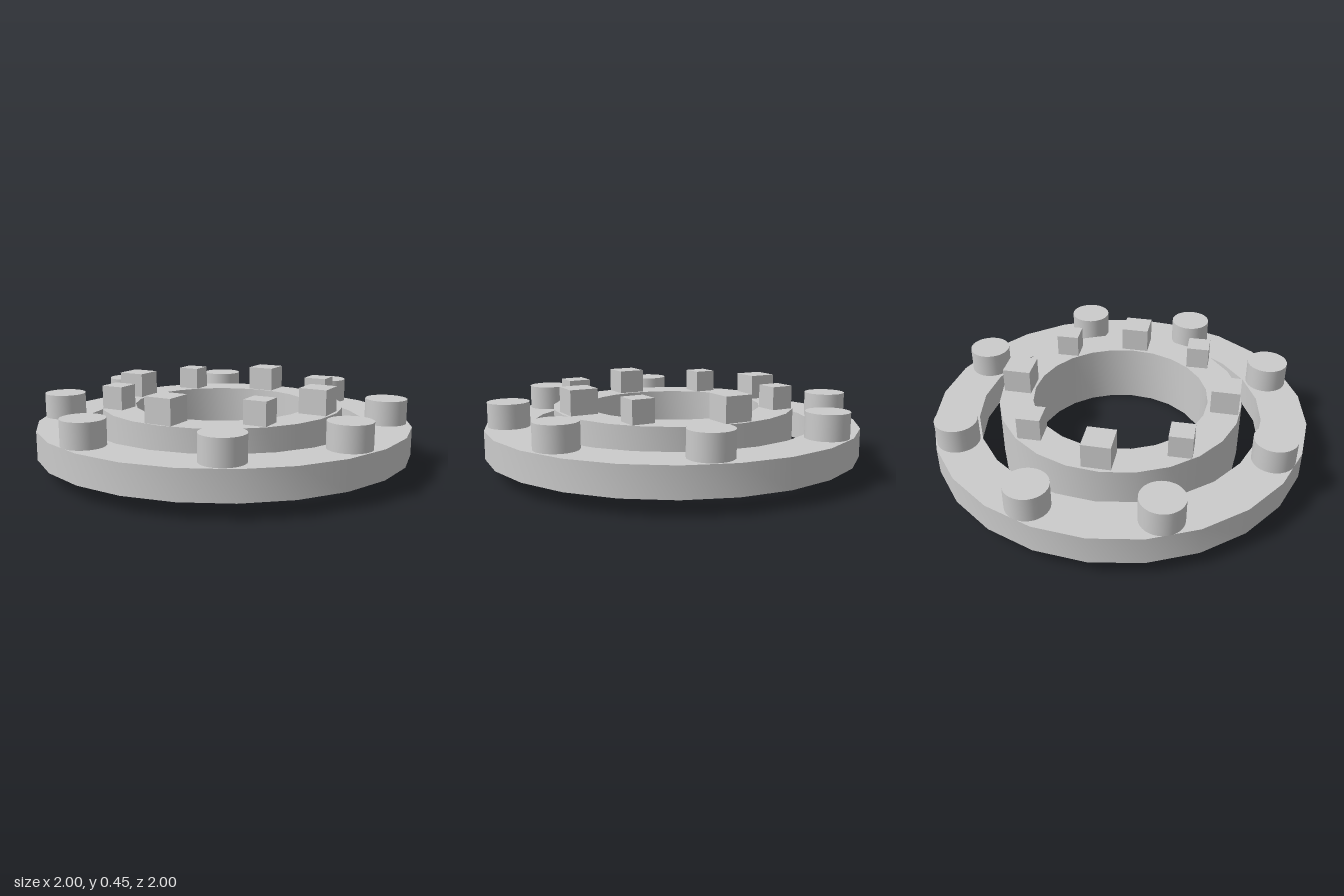
import * as THREE from 'three';
import { toCreasedNormals } from 'three/addons/utils/BufferGeometryUtils.js';

export function createModel() {
  const model = new THREE.Group();
  const material = new THREE.MeshStandardMaterial({ color: 0xcccccc });
  const rad = THREE.MathUtils.degToRad;

  function add(name, geometry, x, y, z, turn = 0) {
    const mesh = new THREE.Mesh(geometry, material);
    mesh.name = name;
    mesh.position.set(x, y, z);
    mesh.rotation.y = turn;
    model.add(mesh);
  }

  // Flat ring with square edges, from a closed rectangular profile
  function ring(inner, outer, bottom, top) {
    const profile = [
      [inner, bottom], [outer, bottom], [outer, top], [inner, top], [inner, bottom],
    ].map(([r, y]) => new THREE.Vector2(r, y));
    return toCreasedNormals(new THREE.LatheGeometry(profile, 24, rad(13)), 0.6);
  }

  add('outerRing', ring(0.76, 1, 0.08, 0.23), 0, 0, 0);
  add('innerRing', ring(0.468, 0.647, 0, 0.32), -0.005, 0, -0.007);

  // Round pegs standing on the outer ring
  const peg = new THREE.CylinderGeometry(0.11, 0.11, 0.13, 32);
  for (const angle of [82.5, 40, -8, -56, -98, -140, 172, 124]) {
    const a = rad(angle);
    add('roundPeg', peg, -0.004 + 0.877 * Math.cos(a), 0.295, -0.007 - 0.877 * Math.sin(a));
  }

  // Large and small blocks alternating around the inner ring
  const large = new THREE.BoxGeometry(0.147, 0.13, 0.147);
  for (const [x, z] of [[-0.11, -0.548], [0.536, -0.115], [0.105, 0.535], [-0.555, 0.103]]) {
    add('largeBlock', large, x, 0.385, z, rad(10.5));
  }
  const small = new THREE.BoxGeometry(0.12, 0.12, 0.12);
  for (const [x, z] of [[0.284, -0.48], [-0.455, -0.337], [0.443, 0.322], [-0.294, 0.468]]) {
    add('smallBlock', small, x, 0.38, z, rad(11.5));
  }

  return model;
}
